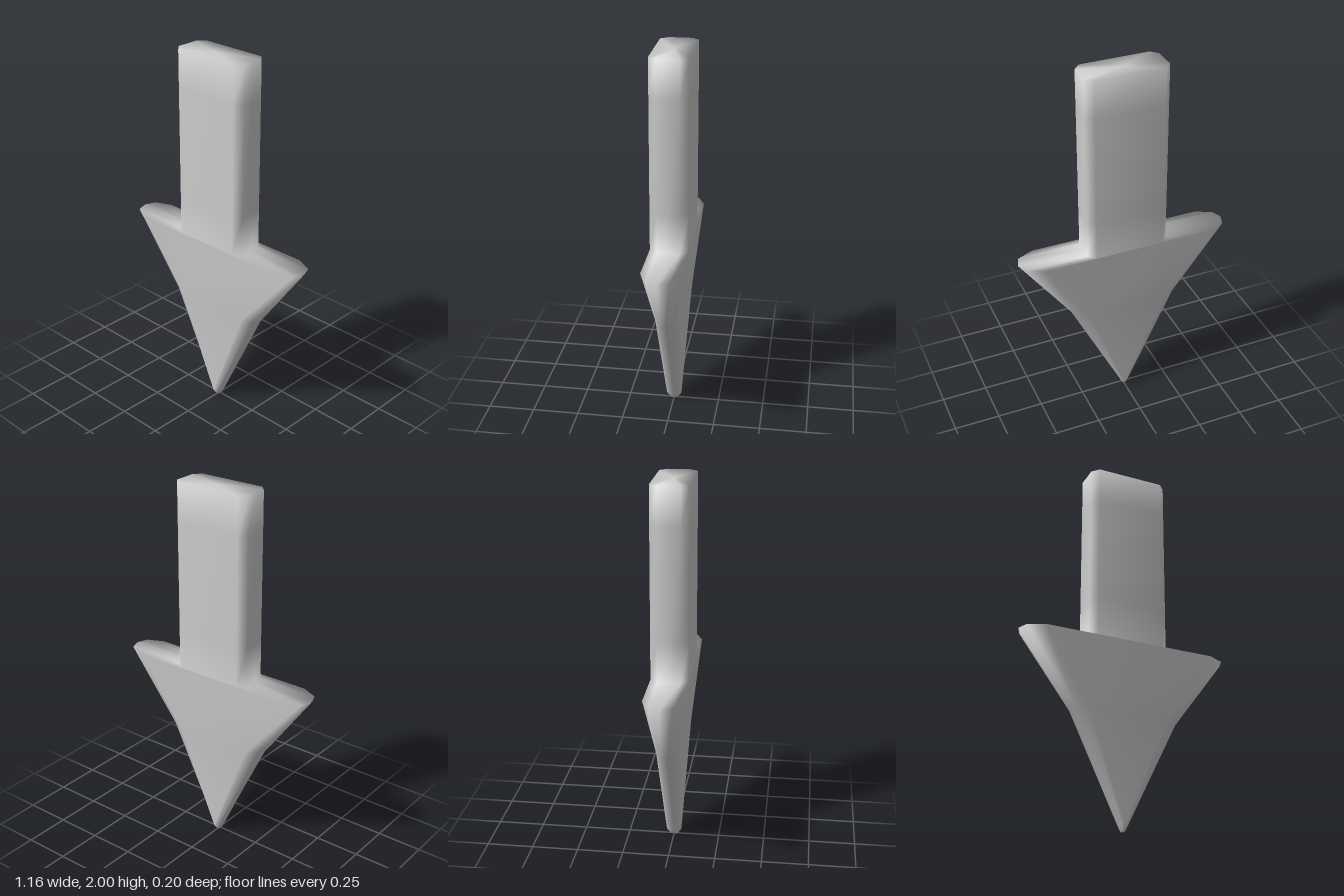
import * as THREE from 'three';

// One bevelled cross-section: half widths at the middle, shoulder and face, and half depth
function section(y, mid, shoulder, face, depth) {
  const quarter = [[mid, 0], [shoulder, 0.6 * depth], [face, depth]];
  const half = [...quarter, ...quarter.slice(1).reverse().map(([x, z]) => [-x, z])];
  const ring = [...half, ...half.map(([x, z]) => [-x, -z])];
  return ring.map(([x, z]) => [x, y, z]);
}

// Closed skin through the sections, from bottom to top
function loft(sections) {
  const n = sections[0].length;
  const index = [];
  for (let s = 0; s < sections.length - 1; s++) {
    for (let i = 0; i < n; i++) {
      const a = s * n + i, b = s * n + (i + 1) % n;
      index.push(a, a + n, b, b, a + n, b + n);
    }
  }
  // End caps
  const points = sections.flat();
  const top = (sections.length - 1) * n;
  const bottomCentre = points.push([0, sections[0][0][1], 0]) - 1;
  const topCentre = points.push([0, points[top][1], 0]) - 1;
  for (let i = 0; i < n; i++) {
    const j = (i + 1) % n;
    index.push(bottomCentre, i, j, topCentre, top + j, top + i);
  }
  const geometry = new THREE.BufferGeometry();
  geometry.setAttribute('position', new THREE.Float32BufferAttribute(points.flat(), 3));
  geometry.setIndex(index);
  geometry.computeVertexNormals();
  return geometry;
}

export function createModel() {
  const group = new THREE.Group();
  group.name = 'downArrow';

  const sections = [
    // Blunt tip
    section(0, 0.008, 0.007, 0.004, 0.02),
    section(0.03, 0.022, 0.018, 0.008, 0.04),
    // Flared head
    section(0.6, 0.30, 0.28, 0.225, 0.068),
    section(0.99, 0.582, 0.56, 0.47, 0.1),
    // Ledge and shaft
    section(0.99, 0.22, 0.222, 0.185, 0.1),
    section(1.2, 0.22, 0.222, 0.185, 0.1),
    section(1.8, 0.22, 0.222, 0.185, 0.1),
    section(2, 0.22, 0.222, 0.185, 0.1),
  ];

  const arrow = new THREE.Mesh(loft(sections), new THREE.MeshStandardMaterial({ color: 0xcccccc }));
  arrow.name = 'arrowHeadAndShaft';
  group.add(arrow);
  return group;
}
